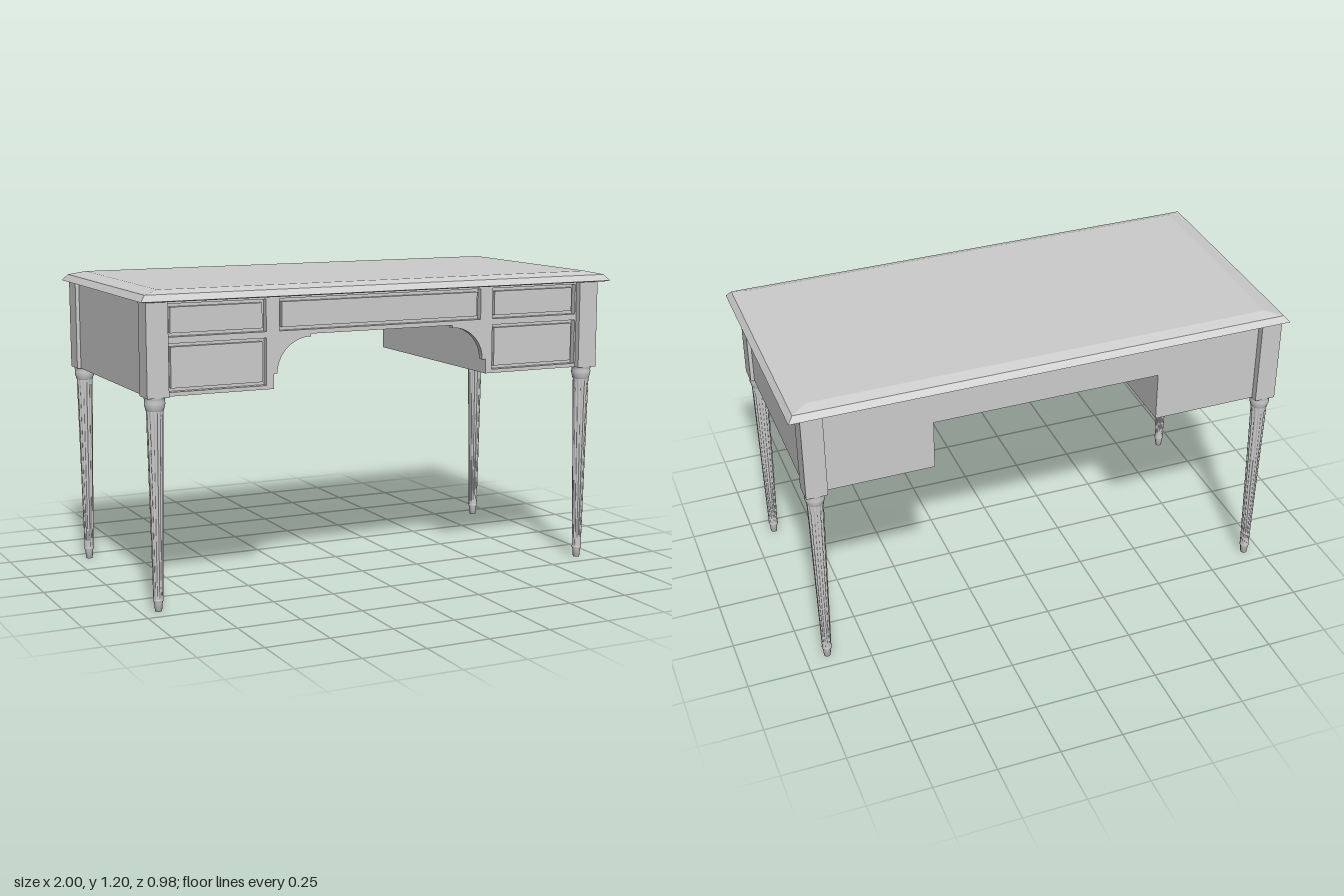
import * as THREE from 'three';

const mat = new THREE.MeshStandardMaterial({ color: 0xcccccc, side: THREE.DoubleSide });
const flat = new THREE.MeshStandardMaterial({ color: 0xcccccc, flatShading: true });
const CX = -0.01, CZ = -0.003; // centre of the body under the top

function add(parent, name, geometry, material = flat) {
  const mesh = new THREE.Mesh(geometry, material);
  mesh.name = name;
  parent.add(mesh);
  return mesh;
}

// Box given by its limits
function box(parent, name, x0, x1, y0, y1, z0, z1) {
  const g = new THREE.BoxGeometry(x1 - x0, y1 - y0, z1 - z0);
  g.translate((x0 + x1) / 2, (y0 + y1) / 2, (z0 + z1) / 2);
  return add(parent, name, g);
}

// Solid through stacked rectangles [halfX, halfZ, y], bottom to top
function stackedRects(rects) {
  const pos = [], idx = [];
  rects.forEach(([x, z, y]) => pos.push(-x, y, z, x, y, z, x, y, -z, -x, y, -z));
  for (let r = 0; r < rects.length - 1; r++) {
    for (let i = 0; i < 4; i++) {
      const a = r * 4 + i, b = r * 4 + (i + 1) % 4;
      idx.push(a, b, b + 4, a, b + 4, a + 4);
    }
  }
  const t = (rects.length - 1) * 4;
  idx.push(0, 2, 1, 0, 3, 2, t, t + 1, t + 2, t, t + 2, t + 3);
  const g = new THREE.BufferGeometry();
  g.setAttribute('position', new THREE.Float32BufferAttribute(pos, 3));
  g.setIndex(idx);
  g.computeVertexNormals();
  return g;
}

const lathe = (pts, seg) => new THREE.LatheGeometry(pts.map(p => new THREE.Vector2(...p)), seg);

// Tapered shaft with twelve flutes that fade out at both ends
function flutedShaft() {
  const y0 = 0.045, y1 = 0.757, pts = [];
  for (let i = 0; i <= 16; i++) {
    const t = i / 16;
    pts.push([0.0185 + 0.0135 * t, y0 + (y1 - y0) * t]);
  }
  const g = lathe(pts, 72), p = g.attributes.position;
  for (let i = 0; i < p.count; i++) {
    const x = p.getX(i), z = p.getZ(i), t = (p.getY(i) - y0) / (y1 - y0);
    const fade = Math.min(1, t * 16, (1 - t) * 16);
    const groove = Math.max(0, Math.cos(12 * Math.atan2(z, x)));
    const s = 1 - 0.15 * fade * groove;
    p.setX(i, x * s);
    p.setZ(i, z * s);
  }
  g.computeVertexNormals();
  return g;
}

function rectPath(x0, x1, y0, y1) {
  const p = new THREE.Path();
  p.moveTo(x0, y0);
  p.lineTo(x0, y1);
  p.lineTo(x1, y1);
  p.lineTo(x1, y0);
  p.closePath();
  return p;
}

export function createModel() {
  const desk = new THREE.Group();
  desk.name = 'desk';

  // Moulded top with two chamfers
  add(desk, 'tabletop', stackedRects([
    [0.985, 0.475, 1.153], [1, 0.49, 1.157], [0.98, 0.472, 1.181], [0.917, 0.43, 1.195],
  ]));

  const body = new THREE.Group();
  body.name = 'body';
  body.position.set(CX, 0, CZ);
  desk.add(body);

  // Carcass: centre section and two pedestals
  box(body, 'centreCarcass', -0.46, 0.46, 1.005, 1.155, -0.44, 0.42);
  for (const s of [-1, 1]) {
    box(body, 'pedestal', Math.min(s * 0.457, s * 0.95), Math.max(s * 0.457, s * 0.95),
      0.805, 1.155, -0.44, 0.42);
  }

  // Drawer openings: x0, x1, y0, y1
  const drawers = [[-0.42, 0.42, 1.035, 1.13]];
  for (const s of [-1, 1]) {
    const x0 = s < 0 ? -0.862 : 0.5, x1 = s < 0 ? -0.5 : 0.862;
    drawers.push([x0, x1, 1.035, 1.13], [x0, x1, 0.833, 0.985]);
  }

  // Front panel with arched kneehole
  const front = new THREE.Shape();
  front.moveTo(-0.9, 1.155);
  front.lineTo(-0.9, 0.805);
  front.lineTo(-0.458, 0.805);
  front.lineTo(-0.458, 0.862);
  front.lineTo(-0.443, 0.862);
  front.absellipse(-0.305, 0.862, 0.138, 0.133, Math.PI, Math.PI / 2, true);
  front.lineTo(-0.305, 1.005);
  front.lineTo(0.305, 1.005);
  front.lineTo(0.305, 0.995);
  front.absellipse(0.305, 0.862, 0.138, 0.133, Math.PI / 2, 0, true);
  front.lineTo(0.458, 0.862);
  front.lineTo(0.458, 0.805);
  front.lineTo(0.9, 0.805);
  front.lineTo(0.9, 1.155);
  front.closePath();
  const m = 0.013;
  drawers.forEach(([x0, x1, y0, y1]) => front.holes.push(rectPath(x0 - m, x1 + m, y0 - m, y1 + m)));
  const frontGeo = new THREE.ExtrudeGeometry(front, { depth: 0.025, bevelEnabled: false, curveSegments: 16 });
  frontGeo.translate(0, 0, 0.42);
  add(body, 'frontPanel', frontGeo);
  drawers.forEach(([x0, x1, y0, y1]) => box(body, 'drawerFront', x0, x1, y0, y1, 0.42, 0.438));

  // Corner posts and turned fluted legs
  const shaft = flutedShaft();
  const capital = lathe([[0.03, 0.752], [0.034, 0.757], [0.035, 0.765], [0.038, 0.772],
    [0.039, 0.785], [0.037, 0.795], [0.04, 0.8], [0.04, 0.806]], 32);
  const foot = lathe([[0, 0], [0.013, 0], [0.0165, 0.036], [0.0195, 0.039],
    [0.0195, 0.045], [0.0175, 0.048]], 32);
  for (const sx of [-1, 1]) {
    for (const sz of [-1, 1]) {
      const corner = new THREE.Group();
      corner.name = (sz > 0 ? 'front' : 'back') + (sx > 0 ? 'Left' : 'Right') + 'Leg';
      corner.position.set(sx * 0.923, 0, sz * 0.428);
      box(corner, 'cornerPost', -0.042, 0.042, 0.805, 1.155, -0.042, 0.042);
      add(corner, 'flutedShaft', shaft, mat);
      add(corner, 'capital', capital, mat);
      add(corner, 'foot', foot, mat);
      body.add(corner);
    }
  }
  return desk;
}
